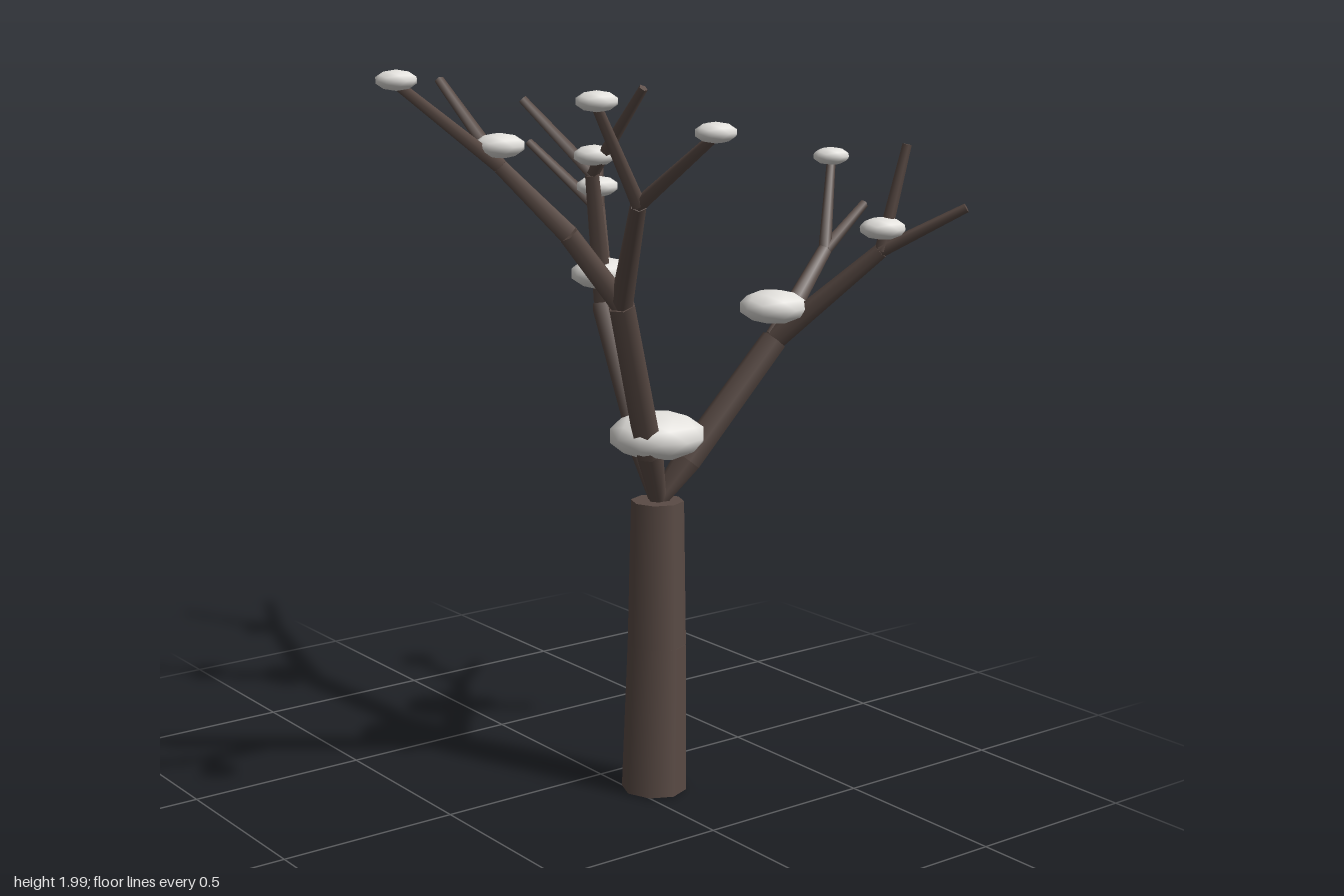
import * as THREE from 'three';

const bark = new THREE.MeshStandardMaterial({ color: 0x5a4b45 });
bark.name = 'dark bark';
const snow = new THREE.MeshStandardMaterial({ color: 0xe4e2de });
snow.name = 'snow white';

// A limb is a chain of tapered cylinders through [x, y, z, radius] points.
function limb(parent, name, points, sides) {
  const group = new THREE.Group();
  group.name = name;
  for (let i = 0; i + 1 < points.length; i++) {
    const a = new THREE.Vector3(...points[i]);
    const b = new THREE.Vector3(...points[i + 1]);
    const dir = b.clone().sub(a);
    const geo = new THREE.CylinderGeometry(points[i + 1][3], points[i][3], dir.length(), sides);
    const mesh = new THREE.Mesh(geo, bark);
    mesh.name = name + 'Segment';
    mesh.position.copy(a).add(b).multiplyScalar(0.5);
    mesh.quaternion.setFromUnitVectors(new THREE.Vector3(0, 1, 0), dir.normalize());
    group.add(mesh);
  }
  parent.add(group);
}

// A squashed low-poly ball of snow.
function snowClump(parent, [x, y, z, r]) {
  const mesh = new THREE.Mesh(new THREE.IcosahedronGeometry(1, 1), snow);
  mesh.name = 'snowClump';
  mesh.position.set(x, y, z);
  mesh.scale.set(r, r * 0.49, r);
  parent.add(mesh);
}

export function createModel() {
  const tree = new THREE.Group();
  tree.name = 'snowyTree';

  limb(tree, 'trunk', [[0.17, 0.005, -0.057, 0.089], [0.168, 0.42, -0.066, 0.08], [0.165, 0.82, -0.068, 0.072]], 8);

  // Main branches, each forking into two boughs that carry two twigs.
  const root = [0.165, 0.82, -0.07];
  const mains = [
    {
      end: [-0.23, 1.29, -0.18],
      boughs: [
        { path: [[-0.57, 1.51, -0.41]], twigs: [[-0.79, 1.7, -0.31], [-0.8, 1.62, -0.58]] },
        { path: [[-0.15, 1.67, -0.08]], twigs: [[-0.28, 1.87, 0.06], [0.04, 1.91, -0.11]] },
      ],
    },
    {
      end: [0.3, 1.39, 0.155],
      boughs: [
        { path: [[0.285, 1.58, 0.31], [0.21, 1.75, 0.46]], twigs: [[0.21, 1.96, 0.75], [0, 1.95, 0.5]] },
        { path: [[0.52, 1.67, 0.27]], twigs: [[0.615, 1.92, 0.465], [0.76, 1.85, 0.23]] },
      ],
    },
    {
      end: [0.265, 1.24, -0.385],
      boughs: [
        { path: [[0.485, 1.49, -0.56]], twigs: [[0.655, 1.61, -0.7], [0.52, 1.77, -0.61]] },
        { path: [[0.22, 1.46, -0.6]], twigs: [[0.14, 1.7, -0.69], [0.17, 1.57, -0.79]] },
      ],
    },
  ];

  for (const { end, boughs } of mains) {
    const swell = root.map((v, i) => v + (end[i] - v) * 0.25);
    limb(tree, 'mainBranch', [[...root, 0.025], [...swell, 0.04], [...end, 0.037]], 6);
    for (const { path, twigs } of boughs) {
      const tip = path[path.length - 1];
      const chain = [[...end, 0.031], ...path.map((p) => [...p, p === tip ? 0.021 : 0.028])];
      limb(tree, 'bough', chain, 6);
      for (const t of twigs) limb(tree, 'twig', [[...tip, 0.019], [...t, 0.013]], 5);
    }
  }

  // Snow on the crown, on the forks and on some twig tips.
  const clumps = [
    [0.165, 1.0, -0.065, 0.132],
    [-0.23, 1.38, -0.175, 0.092],
    [0.265, 1.33, -0.38, 0.094],
    [-0.57, 1.58, -0.405, 0.064],
    [-0.145, 1.72, -0.085, 0.06],
    [0.21, 1.8, 0.46, 0.064],
    [0.49, 1.55, -0.56, 0.062],
    [0.21, 1.968, 0.75, 0.051],
    [0.618, 1.93, 0.465, 0.051],
    [0.76, 1.857, 0.23, 0.051],
    [0.14, 1.707, -0.69, 0.051],
  ];
  clumps.forEach((c) => snowClump(tree, c));

  return tree;
}
